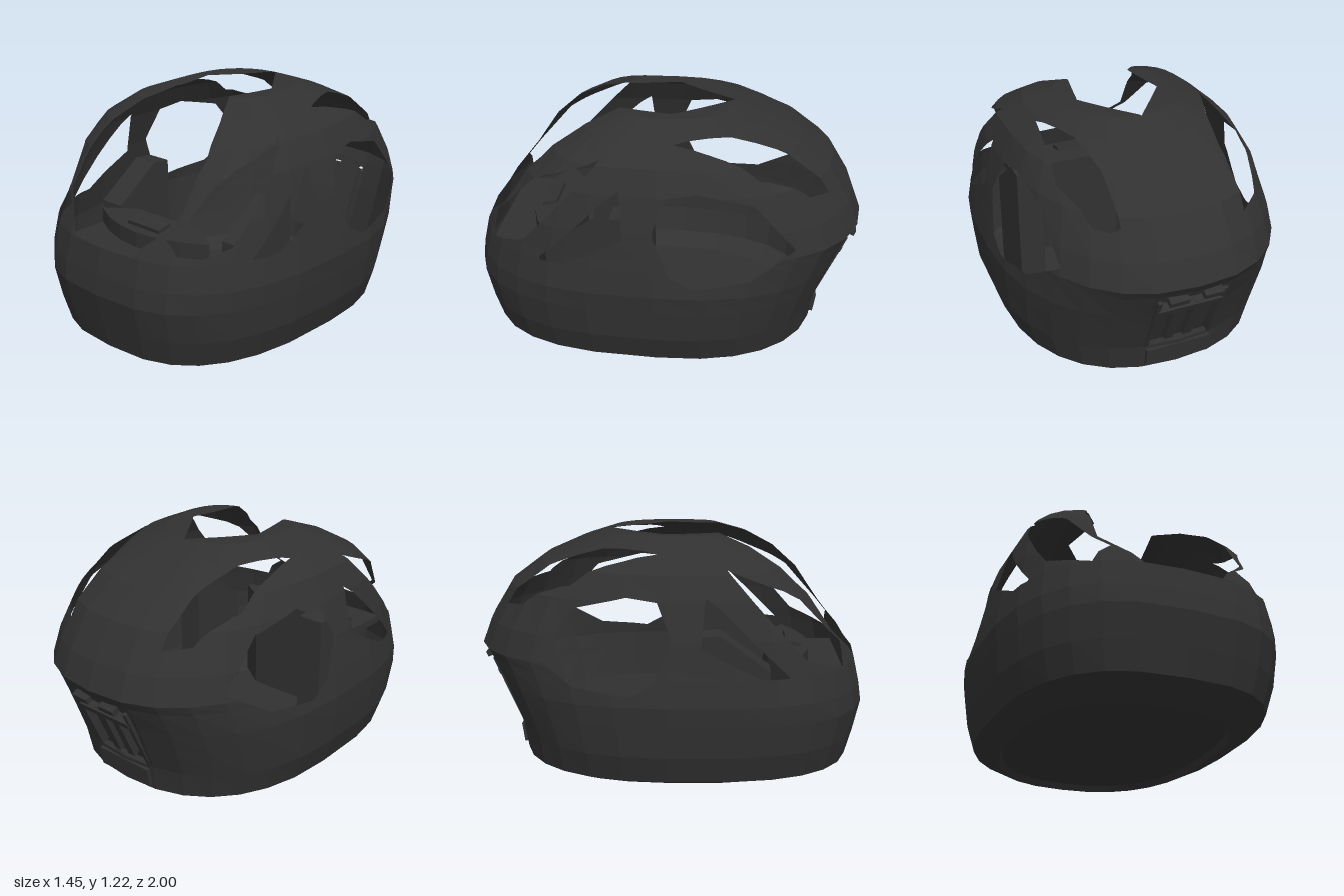
import * as THREE from 'three';

// Horizontal rings of the pod: height, half width, front z, rear z
const RINGS = [
  [0.01, 0.55, 0.75, -0.7], [0.06, 0.655, 0.93, -0.78], [0.2, 0.7, 0.965, -0.8], [0.36, 0.717, 1.0, -0.86],
  [0.46, 0.725, 0.985, -0.9], [0.59, 0.705, 0.955, -0.965], [0.64, 0.695, 0.925, -1.0], [0.77, 0.672, 0.845, -0.95],
  [0.95, 0.62, 0.71, -0.84], [1.07, 0.56, 0.57, -0.68], [1.16, 0.44, 0.41, -0.48], [1.215, 0.29, 0.25, -0.32],
];
const BELT = 5; // ring where the cabin starts
const SIDES = 28;

// Rounded outline of one ring, squarer at the front and towards the roof
function ring([y, w, front, rear], scale = 1) {
  const frontPower = 2.8 + Math.max(0, y - 0.6) * 2.2;
  return Array.from({ length: SIDES }, (_, i) => {
    const a = (i / SIDES) * Math.PI * 2, c = Math.cos(a), s = Math.sin(a);
    const p = 2 / (s > 0 ? frontPower : 2.4);
    const x = Math.sign(c) * Math.abs(c) ** p * w;
    const z = Math.abs(s) ** p * (s > 0 ? front : rear);
    return new THREE.Vector3(x * scale, y, z * scale);
  });
}

function loft(rings) {
  const faces = [];
  for (let k = 0; k + 1 < rings.length; k++) {
    for (let i = 0; i < SIDES; i++) {
      const j = (i + 1) % SIDES;
      const [a, b, c, d] = [rings[k][i], rings[k + 1][i], rings[k + 1][j], rings[k][j]];
      faces.push([a, b, c], [a, c, d]);
    }
  }
  return faces;
}

// Cut a convex opening, seen along one axis, out of a list of polygons
function cut(polys, outline, project) {
  const pts = outline.map(([u, v]) => new THREE.Vector2(u, v));
  if (THREE.ShapeUtils.area(pts) < 0) pts.reverse();
  return polys.flatMap((poly) => {
    const kept = [];
    let rest = poly;
    for (let e = 0; e < pts.length && rest.length > 2; e++) {
      const a = pts[e], b = pts[(e + 1) % pts.length];
      const side = (p) => {
        const [u, v] = project(p);
        return (b.x - a.x) * (v - a.y) - (b.y - a.y) * (u - a.x);
      };
      const inside = [], outside = [];
      rest.forEach((p, i) => {
        const q = rest[(i + 1) % rest.length], dp = side(p), dq = side(q);
        (dp >= 0 ? inside : outside).push(p);
        if ((dp >= 0) !== (dq >= 0)) {
          const m = p.clone().lerp(q, dp / (dp - dq));
          inside.push(m);
          outside.push(m);
        }
      });
      if (outside.length > 2) kept.push(outside);
      rest = inside;
    }
    return rest.length > 2 ? kept : [poly];
  });
}

// Flat-faced geometry from convex polygons
function facets(polys) {
  const pts = [];
  for (const p of polys) for (let i = 1; i + 1 < p.length; i++) pts.push(p[0], p[i], p[i + 1]);
  const g = new THREE.BufferGeometry().setFromPoints(pts);
  g.computeVertexNormals();
  return g;
}

const fan = (pts, centre) => pts.map((p, i) => [centre, p, pts[(i + 1) % pts.length]]);

export function createModel() {
  const model = new THREE.Group();
  const charcoal = new THREE.MeshStandardMaterial({ color: 0x313131, side: THREE.DoubleSide });
  charcoal.name = 'charcoal';
  const add = (name, geometry, x = 0, y = 0, z = 0, rx = 0) => {
    const mesh = new THREE.Mesh(geometry, charcoal);
    mesh.name = name;
    mesh.position.set(x, y, z);
    mesh.rotation.x = rx;
    model.add(mesh);
  };

  const rings = RINGS.map((r) => ring(r));
  const fromSide = (p) => [p.z, p.y], fromTop = (p) => [p.x, p.z];
  const fromBack = (p) => (p.z < 0 ? [p.x, p.y] : [9, 9]);
  const rearSideWindow = [[0.02, 0.78], [-0.05, 0.95], [-0.2, 0.97], [-0.46, 0.91],
    [-0.67, 0.68], [-0.45, 0.54], [-0.18, 0.51], [-0.07, 0.57]];

  // Lower body, cut by the dip of the rear side windows and the rear vent
  let body = cut(loft(rings.slice(0, BELT + 1)), rearSideWindow, fromSide);
  body = cut(body, [[-0.17, 0.2], [0.17, 0.2], [0.19, 0.56], [-0.19, 0.56]], fromBack);
  add('lowerBody', facets(body));

  // Underside with a shallow recess, which is also the cabin floor
  const lip = ring(RINGS[0], 0.95), recess = ring(RINGS[0], 0.92);
  lip.forEach((p) => { p.y = 0; });
  recess.forEach((p) => { p.y = 0.03; });
  add('floor', facets([
    ...loft([recess, lip, rings[0]]),
    ...fan(recess, new THREE.Vector3(0, 0.03, 0)),
  ]));

  // Cabin shell and roof, with the window openings cut out
  const roofCentre = new THREE.Vector3(0, 1.205, -0.03);
  let cabin = [...loft(rings.slice(BELT)), ...fan([...rings[rings.length - 1]].reverse(), roofCentre)];
  const sideWindows = [
    [[0.28, 1.09], [0.55, 0.985], [0.63, 0.94], [0.85, 0.7], [0.86, 0.592], [0.67, 0.66]],
    [[0.18, 0.97], [0.25, 0.92], [0.62, 0.56], [0.45, 0.592], [0.16, 0.74]],
  ];
  for (const w of [...sideWindows, rearSideWindow]) cabin = cut(cabin, w, fromSide);
  const rearSlot = [[0.31, -0.82], [0.31, -0.55], [0.35, -0.33], [0.45, -0.06], [0.5, -0.48], [0.42, -0.72]];
  const halfScreen = [[0.17, 0.23], [0.28, 0.42], [0.36, 0.6], [0.375, 0.8], [0.2, 0.94], [0.1, 1.0]];
  const mirror = (pts) => pts.map(([x, z]) => [-x, z]);
  cabin = cut(cabin, rearSlot, fromTop);
  cabin = cut(cabin, mirror(rearSlot), fromTop);
  cabin = cut(cabin, [...halfScreen, ...mirror(halfScreen).reverse()], fromTop);
  cabin = cut(cabin, [[0, -0.33], [0.22, -0.03], [0.17, 0.23], [-0.17, 0.23], [-0.22, -0.03]], fromTop);
  add('cabinShell', facets(cabin));

  // Console across the cabin, bowed towards the front, with a control pad
  const bow = new THREE.Shape();
  bow.moveTo(-0.22, -0.5);
  bow.lineTo(0.22, -0.5);
  bow.lineTo(0.38, -0.61);
  bow.quadraticCurveTo(0, -0.85, -0.38, -0.61);
  const bowGeometry = new THREE.ExtrudeGeometry(bow, { depth: 0.56, bevelEnabled: false, curveSegments: 6 });
  add('console', bowGeometry, 0, 0.04, 0, -Math.PI / 2);
  add('controlPad', new THREE.BoxGeometry(0.22, 0.02, 0.08), 0, 0.62, 0.64, 0.2);

  // Shelf between the console and the bonnet
  add('shelf', new THREE.BoxGeometry(0.76, 0.04, 0.28), 0, 0.5, 0.75);

  // Sloping side consoles
  const wedge = new THREE.Shape([[0.15, 0.04], [0.5, 0.04], [0.5, 0.58], [0.25, 0.76], [0.15, 0.75]]
    .map(([z, y]) => new THREE.Vector2(z, y)));
  const wedgeGeometry = new THREE.ExtrudeGeometry(wedge, { depth: 0.14, bevelEnabled: false });
  wedgeGeometry.rotateY(-Math.PI / 2);
  add('sideConsole', wedgeGeometry, 0.5);
  add('sideConsole', wedgeGeometry, -0.36);

  // Sunken rear vent: back panel, upright slats, louvres and a lower flap
  const lean = -0.41;
  add('ventPanel', new THREE.BoxGeometry(0.37, 0.42, 0.01), 0, 0.38, -0.815, lean);
  for (const s of [-1, 1]) {
    add('ventSlat', new THREE.BoxGeometry(0.045, 0.3, 0.04), s * 0.05, 0.36, -0.83, lean);
    add('ventFrame', new THREE.BoxGeometry(0.02, 0.38, 0.05), s * 0.17, 0.38, -0.84, lean);
    add('ventLouvre', new THREE.BoxGeometry(0.1, 0.03, 0.06), s * 0.09, 0.565, -0.95, -0.4);
  }
  add('ventSill', new THREE.BoxGeometry(0.34, 0.03, 0.06), 0, 0.48, -0.885, lean);
  add('rearFlap', new THREE.BoxGeometry(0.34, 0.1, 0.02), 0, 0.13, -0.785, -0.14);

  return model;
}
